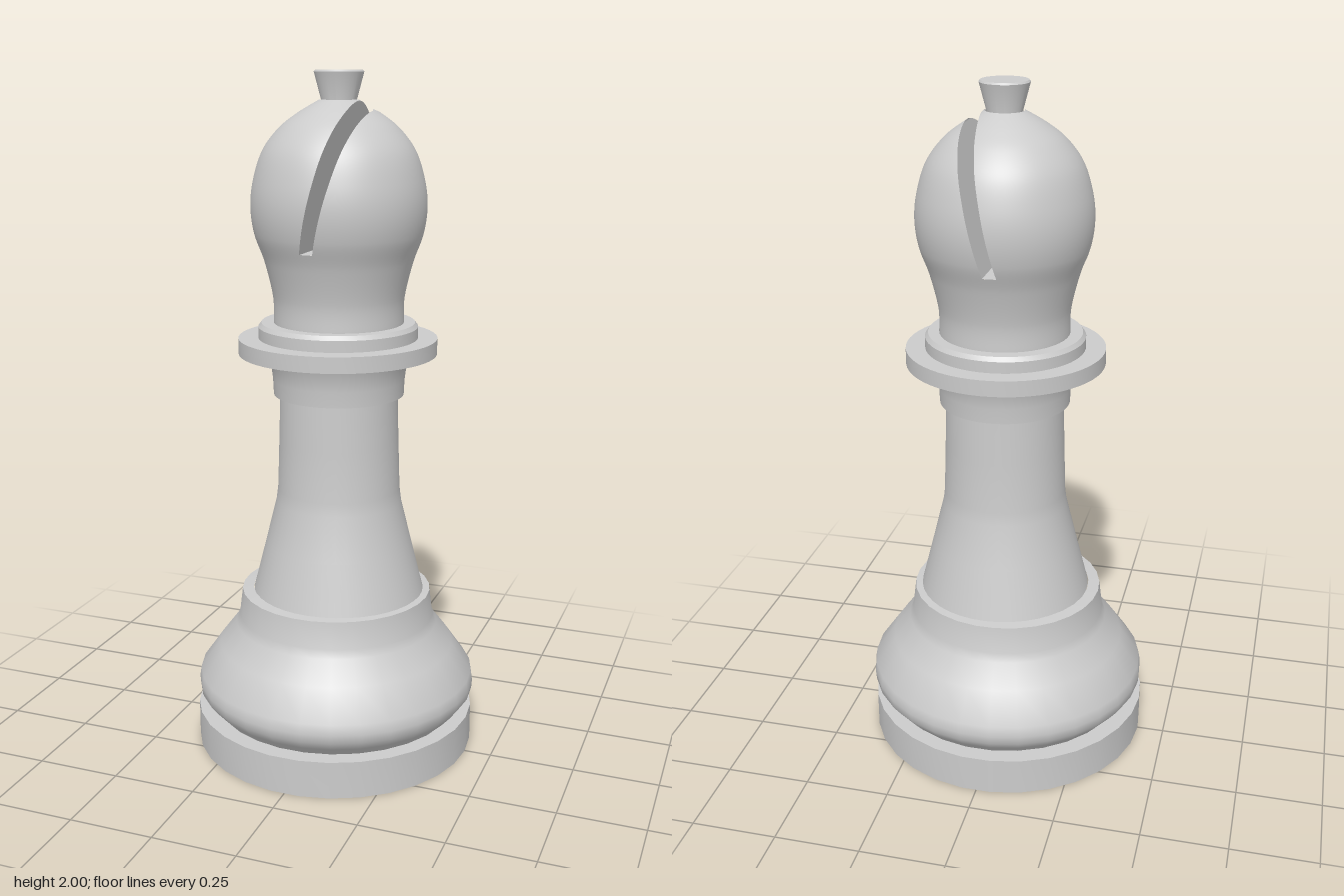
import * as THREE from 'three';
import { toCreasedNormals } from 'three/addons/utils/BufferGeometryUtils.js';

const CX = 0.012; // the upper parts sit slightly off the base axis
const material = new THREE.MeshStandardMaterial({ color: 0xcccccc });
const doubleSided = new THREE.MeshStandardMaterial({ color: 0xcccccc, side: THREE.DoubleSide });

// Turned part from [radius, height] pairs, bottom to top
function turned(name, profile, x, sides, crease = 0.5) {
  const pts = profile.map(([r, y]) => new THREE.Vector2(r, y));
  const geo = new THREE.LatheGeometry(pts, sides, Math.PI / 2);
  const mesh = new THREE.Mesh(toCreasedNormals(geo, crease), material);
  mesh.name = name;
  mesh.position.x = x;
  return mesh;
}

// Grid surface: point(row, t) and optional normal(row, t)
function gridMesh(name, rows, cols, point, normal) {
  const pos = [], nor = [], index = [];
  for (let i = 0; i < rows; i++) {
    for (let j = 0; j <= cols; j++) {
      pos.push(...point(i, j / cols));
      if (normal) nor.push(...normal(i, j / cols));
      if (i < rows - 1 && j < cols) {
        const a = i * (cols + 1) + j, b = a + cols + 1;
        index.push(a, b, a + 1, b, b + 1, a + 1);
      }
    }
  }
  const geo = new THREE.BufferGeometry();
  geo.setAttribute('position', new THREE.Float32BufferAttribute(pos, 3));
  geo.setIndex(index);
  if (normal) geo.setAttribute('normal', new THREE.Float32BufferAttribute(nor, 3));
  else geo.computeVertexNormals();
  const mesh = new THREE.Mesh(geo, normal ? material : doubleSided);
  mesh.name = name;
  return mesh;
}

// Head with a slanted slot: circular sections, split in two above the slot floor
function makeHead() {
  const head = new THREE.Group();
  head.name = 'head';
  head.position.x = CX;
  const curve = new THREE.SplineCurve([
    [0.188, 1.295], [0.189, 1.37], [0.212, 1.47], [0.24, 1.55], [0.25, 1.625],
    [0.242, 1.7], [0.216, 1.78], [0.17, 1.842], [0.115, 1.885], [0.055, 1.92],
  ].map(([r, y]) => new THREE.Vector2(r, y)));

  const floorY = 1.516;
  let lo = 0, hi = 1; // curve parameter at the slot floor
  for (let i = 0; i < 30; i++) {
    const mid = (lo + hi) / 2;
    if (curve.getPoint(mid).y < floorY) lo = mid; else hi = mid;
  }
  const levels = (from, to, n) => Array.from({ length: n + 1 }, (_, i) => {
    const u = from + (to - from) * i / n;
    const p = curve.getPoint(u), d = curve.getTangent(u);
    return { r: p.x, y: p.y, nr: d.y, ny: -d.x };
  });
  const leftEdge = (y) => -0.018 + (y - 1.523) * 0.227 - CX;
  const rightEdge = (y) => 0.018 + (y - 1.512) * 0.261 - CX;
  const acos = (v) => Math.acos(THREE.MathUtils.clamp(v, -1, 1));

  // Outer skin over an angle range that may change with height
  const skin = (name, rows, start, end) => {
    const angle = (i, t) => THREE.MathUtils.lerp(end(rows[i]), start(rows[i]), 1 - t);
    head.add(gridMesh(name, rows.length, 48,
      (i, t) => [rows[i].r * Math.cos(angle(i, t)), rows[i].y, rows[i].r * Math.sin(angle(i, t))],
      (i, t) => [rows[i].nr * Math.cos(angle(i, t)), rows[i].ny, rows[i].nr * Math.sin(angle(i, t))]));
  };
  // Flat inner wall of the slot
  const wall = (name, rows, edge) => {
    head.add(gridMesh(name, rows.length, 1, (i, t) => {
      const { r, y } = rows[i], x = Math.min(edge(y), r);
      return [x, y, (2 * t - 1) * Math.sqrt(Math.max(0, r * r - x * x))];
    }));
  };

  skin('headLower', levels(0, lo, 20), () => 0, () => Math.PI * 2);

  const upper = levels(lo, 1, 60);
  const cut = (l) => acos(leftEdge(l.y) / l.r);
  skin('headMainHalf', upper, cut, (l) => Math.PI * 2 - cut(l));
  wall('slotMainWall', upper, leftEdge);

  // The smaller half ends where the slot meets the outer skin
  const end = upper.findIndex((l) => l.r <= rightEdge(l.y));
  const small = end < 0 ? upper : upper.slice(0, end + 1);
  const open = (l) => acos(rightEdge(l.y) / l.r);
  skin('headSmallHalf', small, (l) => -open(l), open);
  wall('slotSmallWall', small, rightEdge);

  // Slot floor
  const r0 = upper[0].r;
  head.add(gridMesh('slotFloor', 2, 1, (i, t) => {
    const x = i ? rightEdge(floorY) : leftEdge(floorY);
    return [x, floorY, (2 * t - 1) * Math.sqrt(r0 * r0 - x * x)];
  }));
  return head;
}

export function createModel() {
  const model = new THREE.Group();
  model.name = 'chessPiece';
  model.add(
    turned('baseDisc', [[0, 0], [0.42, 0], [0.42, 0.112], [0, 0.112]], 0, 30),
    turned('baseBell', [
      [0.37, 0.112], [0.395, 0.14], [0.418, 0.17], [0.42, 0.195], [0.415, 0.225],
      [0.355, 0.31], [0.305, 0.375], [0.294, 0.4], [0.284, 0.48], [0.25, 0.483],
    ], 0.004, 30, 0.75),
    turned('stem', [
      [0.256, 0.48], [0.218, 0.63], [0.186, 0.76], [0.181, 0.8], [0.176, 0.95], [0.172, 1.09],
    ], CX, 40),
    turned('stemCollar', [
      [0.165, 1.085], [0.19, 1.085], [0.192, 1.13], [0.197, 1.17], [0.212, 1.206],
    ], CX, 48),
    turned('wideRing', [[0.15, 1.206], [0.288, 1.206], [0.288, 1.252], [0.15, 1.252]], 0.009, 56),
    turned('narrowRing', [[0.231, 1.252], [0.231, 1.285], [0.222, 1.297], [0.15, 1.297]], 0.01, 56),
    makeHead(),
    turned('finial', [[0.05, 1.9], [0.05, 1.92], [0.07, 1.995], [0.066, 2], [0, 2]], CX, 32),
  );
  return model;
}
